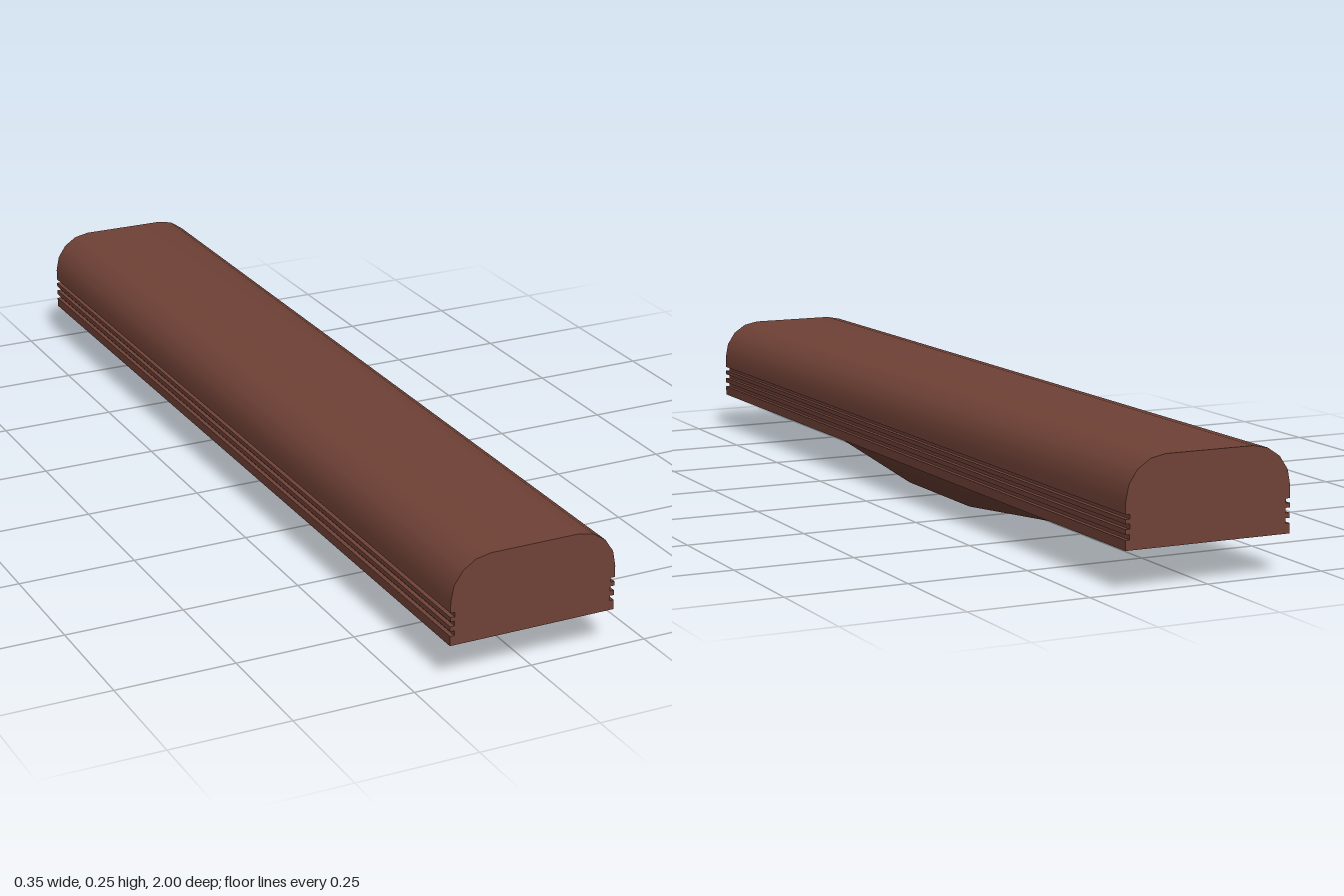
import * as THREE from 'three';
import { toCreasedNormals } from 'three/addons/utils/BufferGeometryUtils.js';

const HALF_LENGTH = 1;
const BASE_Y = 0.08;

// Right half of the bar's cross-section, from the bottom up: grooved side, then rounded shoulder
function barGeometry() {
  const side = 0.177, groove = 0.168;
  const half = [[side, BASE_Y]];
  for (const [low, high] of [[0.1, 0.11], [0.12, 0.13], [0.139, 0.148]]) {
    half.push([side, low], [groove, low], [groove, high], [side, high]);
  }
  for (let i = 0; i <= 4; i++) {
    const a = (i / 4) * Math.PI / 2;
    half.push([0.094 + 0.083 * Math.cos(a), 0.172 + 0.083 * Math.sin(a)]);
  }
  const mirrored = half.map(([x, y]) => [-x, y]).reverse();
  const shape = new THREE.Shape([...half, ...mirrored].map(([x, y]) => new THREE.Vector2(x, y)));
  const geometry = new THREE.ExtrudeGeometry(shape, { depth: 2 * HALF_LENGTH, bevelEnabled: false });
  geometry.translate(0, 0, -HALF_LENGTH);
  return toCreasedNormals(geometry, 0.6);
}

// Tapered underside: a small flat rectangle spreading up to an eight-sided outline
function keelGeometry() {
  const corners = [[1, 1], [-1, 1], [-1, -1], [1, -1]];
  const positions = [], top = [], index = [];
  for (const [sx, sz] of corners) positions.push(0.078 * sx, 0, 0.15 * sz);
  corners.forEach(([sx, sz], c) => {
    const pair = [[0.148 * sx, 0.15 * sz], [0.078 * sx, 0.95 * sz]];
    if (c % 2) pair.reverse();
    for (const [x, z] of pair) {
      top.push({ id: positions.length / 3, corner: c });
      positions.push(x, BASE_Y, z);
    }
  });
  top.forEach((a, i) => {
    const b = top[(i + 1) % top.length];
    index.push(a.id, b.id, b.corner);
    if (a.corner !== b.corner) index.push(a.id, b.corner, a.corner);
  });
  index.push(0, 1, 2, 0, 2, 3);
  const geometry = new THREE.BufferGeometry();
  geometry.setAttribute('position', new THREE.Float32BufferAttribute(positions, 3));
  geometry.setIndex(index);
  geometry.computeVertexNormals();
  return geometry;
}

export function createModel() {
  const brown = new THREE.MeshStandardMaterial({ color: 0x6f4136 });
  brown.name = 'reddish brown';

  const group = new THREE.Group();
  group.name = 'groovedBar';
  const addPart = (name, geometry) => {
    const mesh = new THREE.Mesh(geometry, brown);
    mesh.name = name;
    group.add(mesh);
  };
  addPart('bar', barGeometry());
  addPart('taperedUnderside', keelGeometry());
  return group;
}
